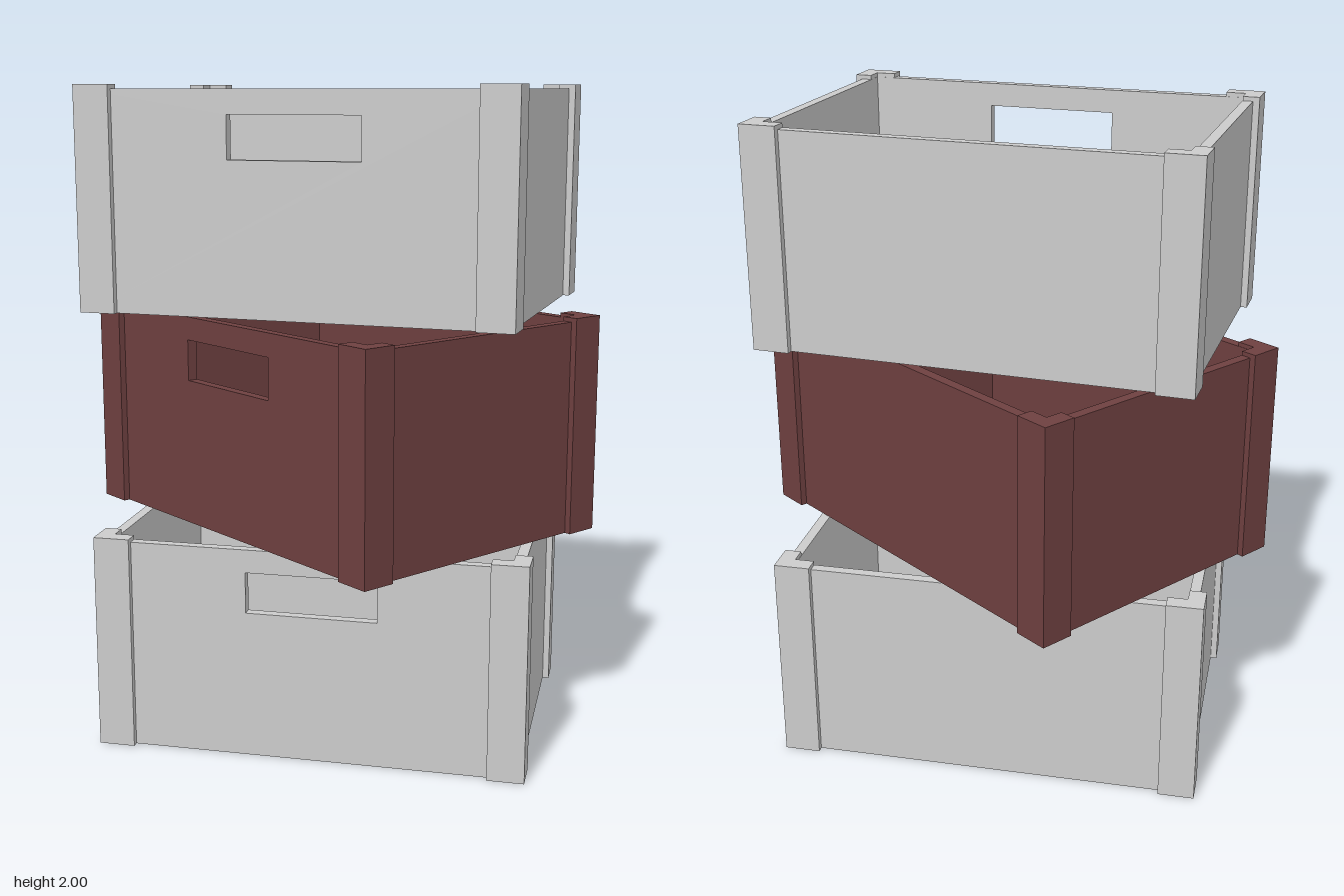
import * as THREE from 'three';

const W = 1.313, D = 0.933;        // outer size over the corner posts
const STEP = 0.02;                 // how far posts stand proud of the walls
const T = 0.032;                   // wall thickness
const WALL_H = 0.65, POST_H = 0.663;
const BW = W - 2 * STEP, BD = D - 2 * STEP; // size over the walls

function rectPath(path, x0, y0, x1, y1) {
  path.moveTo(x0, y0);
  path.lineTo(x1, y0);
  path.lineTo(x1, y1);
  path.lineTo(x0, y1);
  path.closePath();
  return path;
}

// L-shaped corner post, wrapped round the corner given by the signs
function postGeometry(sx, sz) {
  const a = 0.111, b = 0.104, t = STEP + T - 0.001;
  const outline = [[0, 0], [a, 0], [a, t], [t, t], [t, b], [0, b]];
  const shape = new THREE.Shape(
    outline.map(([x, y]) => new THREE.Vector2(sx * (W / 2 - x), sz * (D / 2 - y))));
  const geo = new THREE.ExtrudeGeometry(shape, { depth: POST_H, bevelEnabled: false });
  return geo.rotateX(-Math.PI / 2);
}

// Front wall with the hand-hold cut through it
function frontGeometry() {
  const shape = rectPath(new THREE.Shape(), -BW / 2, 0, BW / 2, WALL_H);
  shape.holes.push(rectPath(new THREE.Path(), -0.188, 0.453, 0.212, 0.579));
  return new THREE.ExtrudeGeometry(shape, { depth: T, bevelEnabled: false })
    .translate(0, 0, BD / 2 - T);
}

function createCrate(name, color) {
  const crate = new THREE.Group();
  crate.name = name;
  const material = new THREE.MeshStandardMaterial({ color });
  const add = (part, geo) => {
    const mesh = new THREE.Mesh(geo, material);
    mesh.name = part;
    crate.add(mesh);
  };
  const box = (w, h, d, x, y, z) => new THREE.BoxGeometry(w, h, d).translate(x, y, z);

  // Walls and floor
  add('frontWall', frontGeometry());
  add('backWall', box(BW, WALL_H, T, 0, WALL_H / 2, -BD / 2 + T / 2));
  for (const s of [1, -1]) {
    add(s > 0 ? 'leftWall' : 'rightWall',
      box(T, WALL_H, BD - 2 * T, s * (BW / 2 - T / 2), WALL_H / 2, 0));
  }
  add('floor', box(BW - 2 * T, T, BD - 2 * T, 0, T / 2, 0));

  // Corner posts
  for (const sx of [1, -1]) for (const sz of [1, -1]) {
    add((sz < 0 ? 'front' : 'back') + (sx > 0 ? 'Left' : 'Right') + 'Post', postGeometry(sx, sz));
  }
  return crate;
}

export function createModel() {
  const model = new THREE.Group();
  model.name = 'crateStack';
  // Three crates stacked with a different turn each
  const crates = [
    ['bottomCrate', 0xcccccc, 0, -5],
    ['middleCrate', 0x6e4040, 0.66, -42.2],
    ['topCrate', 0xcccccc, 1.337, -10.8],
  ];
  for (const [name, color, y, turn] of crates) {
    const crate = createCrate(name, color);
    crate.position.y = y;
    crate.rotation.y = THREE.MathUtils.degToRad(turn);
    model.add(crate);
  }
  return model;
}
